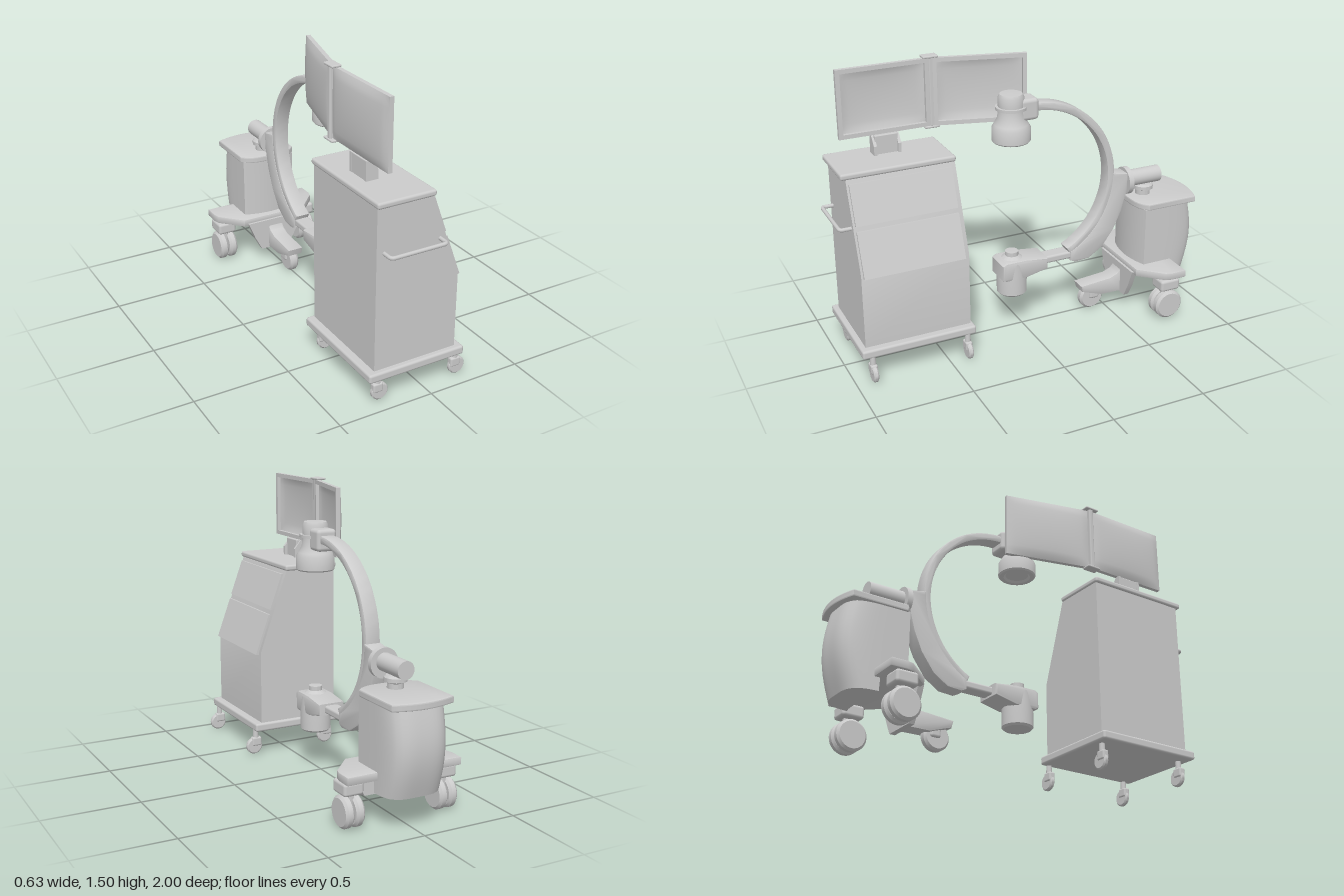
import * as THREE from 'three';
import { toCreasedNormals } from 'three/addons/utils/BufferGeometryUtils.js';
import { RoundedBoxGeometry } from 'three/addons/geometries/RoundedBoxGeometry.js';

const grey = new THREE.MeshStandardMaterial({ color: 0xcccccc });
const greyThin = new THREE.MeshStandardMaterial({ color: 0xcccccc, side: THREE.DoubleSide });

export function createModel() {
  const model = new THREE.Group();

  function add(name, geo, x = 0, y = 0, z = 0, parent = model, mat = grey) {
    const mesh = new THREE.Mesh(geo, mat);
    mesh.name = name;
    mesh.position.set(x, y, z);
    parent.add(mesh);
    return mesh;
  }
  // Rounded box given by its limits
  function block(name, x0, x1, y0, y1, z0, z1, r = 0.01, parent = model) {
    return add(name, new RoundedBoxGeometry(x1 - x0, y1 - y0, z1 - z0, 2, r),
      (x0 + x1) / 2, (y0 + y1) / 2, (z0 + z1) / 2, parent);
  }
  // Extrusion centred on its depth, with a small bevel inside the outline
  function extrude(points, depth, bevel = 0) {
    const shape = new THREE.Shape(points.map(p => new THREE.Vector2(p[0], p[1])));
    const geo = new THREE.ExtrudeGeometry(shape, {
      depth: depth - 2 * bevel, bevelEnabled: bevel > 0, bevelSize: bevel,
      bevelThickness: bevel, bevelOffset: -bevel, bevelSegments: 2,
    });
    geo.translate(0, 0, -depth / 2 + bevel);
    return toCreasedNormals(geo, 0.6);
  }
  const sideExtrude = (points, width, bevel) => extrude(points, width, bevel).rotateY(-Math.PI / 2);
  const lathe = (points, seg = 40) => toCreasedNormals(
    new THREE.LatheGeometry(points.map(p => new THREE.Vector2(p[0], p[1])), seg), 0.6);
  const cylX = (r, w) => lathe([[0, -w / 2], [r * 0.85, -w / 2], [r, -w / 4], [r, w / 4], [r * 0.85, w / 2], [0, w / 2]], 28)
    .rotateZ(Math.PI / 2);

  // ---- Monitor cart ----
  const slopeX = y => 0.01 + (1.01 - y) * 0.365;
  add('cartBody', extrude([[-0.28, 0.17], [0.17, 0.17], [0.17, 0.572], [0.01, 1.015], [-0.28, 1.015]], 0.56), 0, 0, 0.652);
  block('cartBase', -0.32, 0.21, 0.132, 0.178, 0.355, 0.96, 0.012);
  block('cartTop', -0.292, 0.017, 1.01, 1.042, 0.365, 0.957, 0.012);
  for (const [y0, y1] of [[0.797, 0.99], [0.555, 0.773]]) {
    add('slopedPanel', extrude([[slopeX(y0) - 0.012, y0], [slopeX(y0) + 0.012, y0 + 0.004],
      [slopeX(y1) + 0.012, y1 + 0.002], [slopeX(y1) - 0.012, y1]], 0.525), 0, 0, 0.658);
  }
  const rail = new THREE.CurvePath();
  const V = (x, z) => new THREE.Vector3(x, 0.78, z);
  rail.add(new THREE.LineCurve3(V(-0.24, 0.92), V(-0.24, 0.97)));
  rail.add(new THREE.QuadraticBezierCurve3(V(-0.24, 0.97), V(-0.24, 0.99), V(-0.22, 0.99)));
  rail.add(new THREE.LineCurve3(V(-0.22, 0.99), V(0.04, 0.99)));
  rail.add(new THREE.QuadraticBezierCurve3(V(0.04, 0.99), V(0.06, 0.99), V(0.06, 0.97)));
  rail.add(new THREE.LineCurve3(V(0.06, 0.97), V(0.06, 0.92)));
  add('cartHandle', new THREE.TubeGeometry(rail, 60, 0.01, 10));
  for (const x of [-0.235, 0.205]) for (const z of [0.4, 0.907]) {
    const caster = new THREE.Group();
    caster.name = 'cartCaster';
    add('stem', new THREE.CylinderGeometry(0.014, 0.016, 0.07, 16), x - 0.01, 0.105, z, caster);
    add('wheel', cylX(0.045, 0.026).rotateY(Math.PI / 2), x, 0.045, z, caster);
    block('fork', x - 0.04, x + 0.015, 0.045, 0.095, z - 0.018, z + 0.018, 0.01, caster);
    model.add(caster);
  }

  // ---- Screens ----
  block('monitorBracketCore', -0.212, -0.165, 1.035, 1.14, 0.6, 0.72, 0.005);
  for (const z of [0.597, 0.723]) {
    add('monitorBracket', extrude([[-0.215, 1.035], [-0.15, 1.035], [-0.15, 1.09], [-0.19, 1.14], [-0.215, 1.14]], 0.016), 0, 0, z);
  }
  function monitor(name, x, z, angle) {
    const g = new THREE.Group(), W = 0.475, H = 0.352, b = 0.022;
    g.name = name;
    const frame = new THREE.Shape([[0, 0], [W, 0], [W, H], [0, H]].map(p => new THREE.Vector2(...p)));
    frame.holes.push(new THREE.Path([[b, b], [b, H - b], [W - b, H - b], [W - b, b]].map(p => new THREE.Vector2(...p))));
    add('frame', new THREE.ExtrudeGeometry(frame, { depth: 0.022, bevelEnabled: false }), 0, 0, 0, g);
    // Bulged shell: flat at the rim, deeper toward the middle
    const shell = (w, h, d) => {
      const geo = new THREE.PlaneGeometry(w, h, 20, 14), p = geo.attributes.position;
      for (let i = 0; i < p.count; i++) {
        const u = 2 * p.getX(i) / w, v = 2 * p.getY(i) / h;
        p.setZ(i, -d * Math.sqrt(Math.max(0, (1 - u * u) * (1 - v * v))));
      }
      geo.computeVertexNormals();
      return geo;
    };
    add('screen', shell(W - 2 * b, H - 2 * b, 0.018), W / 2, H / 2, 0.004, g, greyThin);
    add('backShell', shell(W, H, 0.026), W / 2, H / 2, 0, g, greyThin);
    g.position.set(x, 1.14, z);
    g.rotation.y = angle;
    model.add(g);
  }
  monitor('frontMonitor', -0.205, 0.893, Math.PI / 2);
  monitor('rearMonitor', -0.2, 0.397, Math.PI / 2 - 0.26);
  block('monitorHinge', -0.222, -0.178, 1.135, 1.5, 0.393, 0.42, 0.008);
  for (const y of [1.135, 1.497]) block('hingeCap', -0.228, -0.175, y - 0.006, y + 0.006, 0.37, 0.45, 0.005);

  // ---- C-shaped arm ----
  const arc = (r, a0, a1, n = 40) => Array.from({ length: n + 1 }, (_, i) => {
    const a = a0 + (a1 - a0) * i / n;
    return [-0.06 - r * Math.sin(a), 0.79 + r * Math.cos(a)];
  });
  add('cArm', sideExtrude([...arc(0.467, -0.04, 2.68), ...arc(0.425, 2.68, -0.04)], 0.082, 0.01));
  add('armCarriage', sideExtrude([...arc(0.455, 1.55, 2.66, 20), [-0.27, 0.335], [-0.3, 0.32], [-0.38, 0.325], [-0.46, 0.375],
    [-0.53, 0.47], [-0.575, 0.57], [-0.597, 0.65], [-0.61, 0.7], [-0.61, 0.78]], 0.09, 0.008));
  block('lowerArmBar', -0.04, 0.04, 0.345, 0.386, -0.31, -0.09, 0.012);

  // ---- Upper detector ----
  add('upperHead', lathe([[0, 1.075], [0.06, 1.075], [0.07, 1.065], [0.092, 1.065], [0.099, 1.072], [0.099, 1.14], [0.088, 1.158],
    [0.07, 1.19], [0.066, 1.235], [0.08, 1.235], [0.08, 1.25], [0.066, 1.25], [0.066, 1.3], [0.058, 1.315], [0, 1.318]]), 0, 0, 0.06);
  block('upperHeadMount', -0.055, 0.055, 1.175, 1.288, -0.072, 0.03, 0.02);

  // ---- Lower source ----
  add('lowerHead', lathe([[0, 0.208], [0.07, 0.208], [0.08, 0.218], [0.08, 0.32], [0.075, 0.4], [0.055, 0.412], [0.035, 0.425],
    [0.035, 0.448], [0, 0.45]]), 0, 0, 0.06);
  add('lowerHeadMount', sideExtrude([[0.142, 0.315], [0.142, 0.4], [0.12, 0.412], [0.01, 0.412], [-0.12, 0.396],
    [-0.12, 0.335], [0.0, 0.308], [0.12, 0.305]], 0.15, 0.012));

  // ---- Pivot between arm and column ----
  add('pivotFlange', new THREE.CylinderGeometry(0.075, 0.075, 0.028, 36).rotateX(Math.PI / 2), 0, 0.726, -0.618);
  add('pivotShaft', new THREE.CylinderGeometry(0.045, 0.045, 0.2, 32).rotateX(Math.PI / 2), 0, 0.733, -0.72);
  add('columnNeck', lathe([[0, 0.62], [0.04, 0.62], [0.04, 0.658], [0.055, 0.665], [0.055, 0.685], [0.045, 0.695], [0, 0.695]]), 0, 0, -0.73);

  // ---- Mobile stand body: box bent into a bulged cabinet with a hanging tail ----
  const cab = new THREE.BoxGeometry(1, 1, 1, 12, 14, 12), p = cab.attributes.position;
  for (let i = 0; i < p.count; i++) {
    const u = p.getX(i) * 2, v = p.getY(i) + 0.5, t = 0.5 - p.getZ(i);
    const bottom = t < 0.58 ? 0.27 : 0.168;
    const y = bottom + (0.6 - bottom) * v, h = (y - 0.168) / 0.432;
    const front = -0.632 - 0.03 * u * u;
    const back = -0.945 - 0.02 * h - 0.038 * Math.sin(Math.PI * h) + 0.035 * u ** 4;
    p.setXYZ(i, u * (0.155 - 0.025 * t ** 6), y, front + (back - front) * t);
  }
  add('standBody', toCreasedNormals(cab, 0.7));
  const lid = [];
  for (let i = 0; i <= 12; i++) { const u = i / 6 - 1; lid.push([u * 0.165, -0.628 - 0.05 * u ** 4]); }
  for (let i = 12; i >= 0; i--) { const u = i / 6 - 1; lid.push([u * 0.165, -1 + 0.035 * u * u]); }
  add('standLid', extrude(lid, 0.036, 0.008).rotateX(Math.PI / 2), 0, 0.614, 0);

  // ---- Stand chassis ----
  add('chassisPlate', extrude([[-0.19, -0.595], [0.19, -0.595], [0.3, -0.715], [0.31, -0.75], [0.31, -0.833], [0.17, -0.833],
    [-0.17, -0.833], [-0.31, -0.833], [-0.31, -0.75], [-0.3, -0.715]], 0.042, 0.006).rotateX(Math.PI / 2), 0, 0.255, 0);
  add('frontFoot', sideExtrude([[-0.34, 0.158], [-0.52, 0.172], [-0.565, 0.19], [-0.585, 0.215], [-0.6, 0.26], [-0.6, 0.078],
    [-0.47, 0.08], [-0.35, 0.12]], 0.09, 0.008));
  add('footGusset', extrude([[-0.09, 0.075], [0.09, 0.075], [0.13, 0.15], [0.17, 0.25], [-0.17, 0.25], [-0.13, 0.15]], 0.03), 0, 0, -0.597);
  add('frontWheel', cylX(0.07, 0.05), 0, 0.07, -0.418);
  block('frontFork', -0.035, 0.035, 0.06, 0.13, -0.46, -0.4, 0.015);

  // Twin-wheel rear casters on both sides
  for (const s of [-1, 1]) {
    const caster = new THREE.Group();
    caster.name = s > 0 ? 'leftRearCaster' : 'rightRearCaster';
    for (const x of [0.228, 0.283]) add('wheel', cylX(0.08, 0.046), s * x, 0.08, -0.745, caster);
    add('axle', new THREE.CylinderGeometry(0.03, 0.03, 0.08, 16).rotateZ(Math.PI / 2), s * 0.255, 0.08, -0.745, caster);
    add('fork', new RoundedBoxGeometry(0.025, 0.12, 0.06, 2, 0.008), s * 0.255, 0.13, -0.745, caster);
    add('housing', new RoundedBoxGeometry(0.105, 0.065, 0.115, 2, 0.015), s * 0.256, 0.2, -0.745, caster);
    model.add(caster);
  }
  return model;
}
